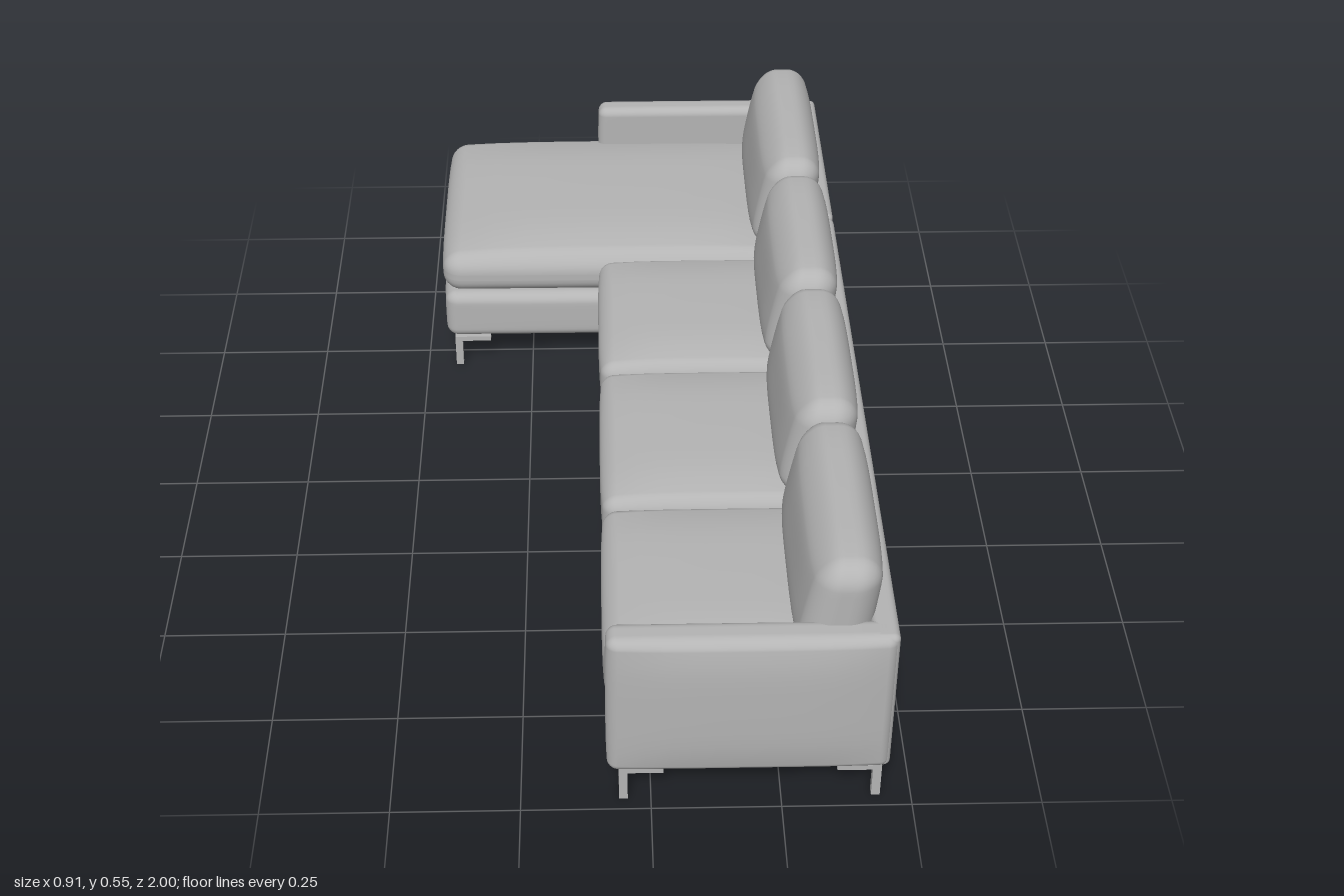
import * as THREE from 'three';
import { mergeVertices } from 'three/addons/utils/BufferGeometryUtils.js';

const AXES = ['x', 'y', 'z'];

// Upholstered block: rounded box between two corners, each side swelling by bulge = {x: [min, max], ...}.
function softBlock(min, max, r, bulge = {}, rule) {
  const N = 18, R = 4;
  const geo = new THREE.BoxGeometry(2, 2, 2, N, N, N);
  geo.deleteAttribute('uv');
  geo.deleteAttribute('normal');
  const pos = geo.attributes.position;
  const half = min.map((m, i) => (max[i] - m) / 2);
  const mid = min.map((m, i) => (max[i] + m) / 2);
  const p = new THREE.Vector3(), inner = new THREE.Vector3();
  for (let i = 0; i < pos.count; i++) {
    p.fromBufferAttribute(pos, i);
    AXES.forEach((a, k) => {
      // the outer R rows on each side form the rounded edge
      const s = Math.sign(p[a]), step = Math.abs(p[a]) * N / 2, flat = N / 2 - R;
      const core = half[k] - r;
      const over = Math.tan(Math.max(0, step - flat) / R * Math.PI / 4) * r;
      p[a] = s * (step <= flat ? core * step / flat : core + over);
      inner[a] = THREE.MathUtils.clamp(p[a], -core, core);
    });
    p.sub(inner).normalize().multiplyScalar(r).add(inner);
    const u = AXES.map((a, k) => THREE.MathUtils.clamp(p[a] / half[k], -1, 1));
    AXES.forEach((a, k) => {
      if (!bulge[a]) return;
      const v = u[(k + 1) % 3], w = u[(k + 2) % 3];
      const swell = (1 - v ** 4) * (1 - w ** 4);
      p[a] += u[k] * swell * bulge[a][u[k] < 0 ? 0 : 1];
    });
    p.set(p.x + mid[0], p.y + mid[1], p.z + mid[2]);
    if (rule) rule(p);
    pos.setXYZ(i, p.x, p.y, p.z);
  }
  const merged = mergeVertices(geo, 1e-5);
  merged.computeVertexNormals();
  return merged;
}

export function createModel() {
  const sofa = new THREE.Group();
  sofa.name = 'cornerSofa';
  const fabric = new THREE.MeshStandardMaterial({ color: 0xb4b4b4 });
  fabric.name = 'grey upholstery';

  const add = (name, geo, parent = sofa) => {
    const mesh = new THREE.Mesh(geo, fabric);
    mesh.name = name;
    parent.add(mesh);
    return mesh;
  };

  // Upholstered bases
  add('sofaBase', softBlock([-0.08, 0.08, -0.43], [0.43, 0.208, 0.95], 0.02, { x: [0.008, 0] }));
  add('chaiseBase', softBlock([-0.45, 0.08, -0.985], [0.43, 0.203, -0.438], 0.025, { x: [0.008, 0], z: [0.004, 0.004] }));

  // Back panels, split where the two units meet
  add('sofaBackPanel', softBlock([0.405, 0.08, -0.432], [0.455, 0.415, 0.978], 0.013));
  add('chaiseBackPanel', softBlock([0.405, 0.08, -0.978], [0.455, 0.415, -0.436], 0.013));

  // Arms, swelling outward
  add('leftArm', softBlock([-0.083, 0.08, 0.92], [0.453, 0.415, 0.983], 0.02, { z: [0, 0.015], x: [0.003, 0] }));
  add('rightArm', softBlock([-0.083, 0.08, -0.988], [0.453, 0.415, -0.93], 0.02, { z: [0.012, 0], x: [0.003, 0] }));

  // Seat cushions
  [[-0.43, 0.003], [0.007, 0.463], [0.467, 0.922]].forEach(([z0, z1], i) =>
    add('seatCushion' + (i + 1),
      softBlock([-0.085, 0.205, z0], [0.4, 0.308, z1], 0.028, { y: [0, 0.022], x: [0.006, 0] })));
  add('chaiseCushion',
    softBlock([-0.452, 0.205, -0.988], [0.4, 0.302, -0.437], 0.04, { y: [0, 0.028], x: [0.007, 0], z: [0.003, 0.003] }));

  // Back cushions, leaning back and narrowing toward the top
  const lean = (p) => {
    const t = (p.y - 0.31) / 0.24;
    p.x += 0.028 * t;
    if (p.x < 0.36) p.x += (0.36 - p.x) * 0.22 * t * t;
  };
  [[-0.935, -0.447], [-0.441, 0.007], [0.011, 0.466], [0.47, 0.943]].forEach(([z0, z1], i) =>
    add('backCushion' + (i + 1),
      softBlock([0.275, 0.31, z0], [0.395, 0.538, z1], 0.045, { x: [0.018, 0.014], y: [0, 0.01] }, lean)));

  // Legs: square post under an L-shaped mounting plate that points inward
  const leg = (x, z, sx, sz) => {
    const g = new THREE.Group();
    g.name = 'leg';
    g.position.set(x, 0, z);
    add('post', new THREE.BoxGeometry(0.017, 0.08, 0.017).translate(0, 0.04, 0), g);
    add('plateAcross', new THREE.BoxGeometry(0.085, 0.012, 0.017).translate(sx * 0.034, 0.075, 0), g);
    add('plateAlong', new THREE.BoxGeometry(0.017, 0.012, 0.085).translate(0, 0.075, sz * 0.034), g);
    sofa.add(g);
  };
  const unitLegs = (x0, x1, z0, z1) => {
    for (const [x, sx] of [[x0, 1], [x1, -1]])
      for (const [z, sz] of [[z0, 1], [z1, -1]]) leg(x, z, sx, sz);
  };
  unitLegs(-0.053, 0.432, -0.416, 0.965);
  unitLegs(-0.425, 0.432, -0.967, -0.45);

  return sofa;
}
